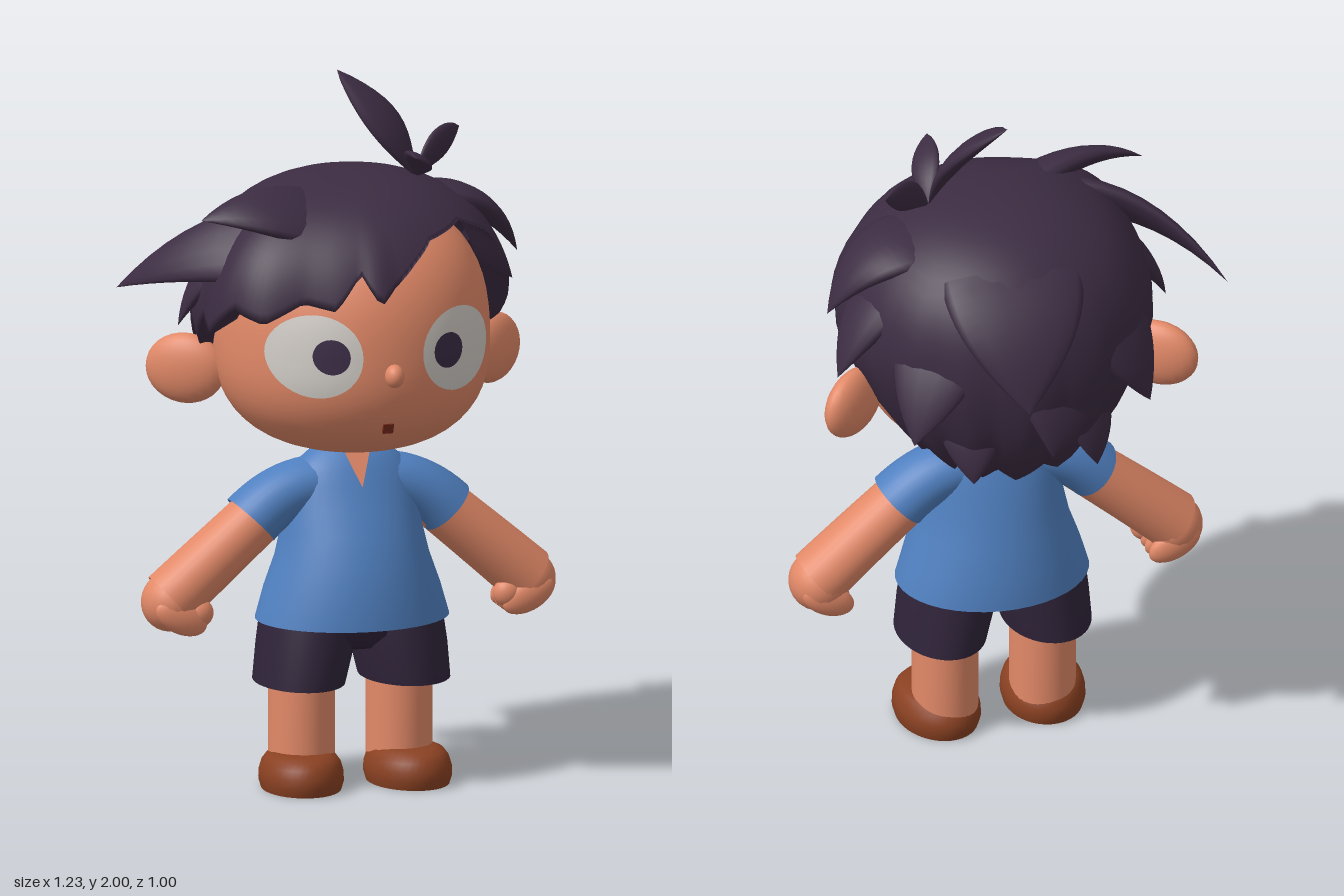
import * as THREE from 'three';

const V = (x, y, z) => new THREE.Vector3(x, y, z);
const mat = (name, color, side = THREE.FrontSide) => {
  const m = new THREE.MeshStandardMaterial({ color, side });
  m.name = name;
  return m;
};
const TAU = Math.PI * 2;
const CX = 0.015; // centre line of the figure

// Skin a stack of closed rings (each ring turns counter-clockwise about the stacking direction)
function loft(rings) {
  const n = rings[0].length, idx = [];
  for (let i = 0; i < rings.length - 1; i++) {
    for (let j = 0; j < n; j++) {
      const k = (j + 1) % n, a = i * n + j, b = i * n + k, c = b + n, d = a + n;
      idx.push(a, b, c, a, c, d);
    }
  }
  const g = new THREE.BufferGeometry().setFromPoints(rings.flat());
  g.setIndex(idx);
  g.computeVertexNormals();
  return g;
}

// Horizontal ellipse ring
const oval = (x, y, z, rx, rz, n = 40) => Array.from({ length: n }, (_, j) =>
  V(x + rx * Math.sin(j / n * TAU), y, z + rz * Math.cos(j / n * TAU)));

// Flattened tube along a three-point curve; w runs across, d along the normal N
function sweep([a, b, c], w, d, N, profile, steps = 12, n = 14) {
  const curve = new THREE.QuadraticBezierCurve3(V(...a), V(...b), V(...c));
  const rings = [];
  for (let i = 0; i <= steps; i++) {
    const t = i / steps, p = curve.getPoint(t), T = curve.getTangent(t);
    const S = N.clone().cross(T).normalize(), U = T.clone().cross(S), r = profile(t);
    rings.push(Array.from({ length: n }, (_, j) => p.clone()
      .addScaledVector(S, Math.cos(j / n * TAU) * w * r)
      .addScaledVector(U, Math.sin(j / n * TAU) * d * r)));
  }
  return loft(rings);
}

// Head: superellipse in height, ellipse in plan
const headScale = (y) => {
  const q = Math.min(1, Math.abs(y - 1.27) / (y > 1.27 ? 0.4 : 0.31));
  return Math.pow(1 - Math.pow(q, 2.5), 0.4);
};
const headZ = (x, y) =>
  0.05 + 0.41 * Math.sqrt(Math.max(0, headScale(y) ** 2 - ((x - 0.02) / 0.385) ** 2));

// Thin oval that follows the curve of the face
function facePatch(cx, cy, rx, ry, lift) {
  const g = new THREE.RingGeometry(0, 1, 40, 8), p = g.attributes.position;
  for (let i = 0; i < p.count; i++) {
    const x = cx + p.getX(i) * rx, y = cy + p.getY(i) * ry;
    p.setXYZ(i, x, y, headZ(x, y) + lift);
  }
  g.computeVertexNormals();
  return g;
}

// Hair hem: angle from the front toward the left, height, outward flare
const HEM = [
  [0, 1.49], [10, 1.55], [20, 1.6], [45, 1.63], [62, 1.58], [72, 1.43, 0.02], [80, 1.42], [90, 1.3],
  [100, 1.25], [106, 1.06], [115, 1.02, 0.04], [122, 1.05], [132, 0.97, 0.06], [140, 1.03], [152, 0.98, 0.08],
  [162, 1.03], [175, 0.96, 0.08], [190, 1.03], [205, 0.98, 0.08], [215, 1.03], [228, 0.97, 0.06], [238, 1.05],
  [247, 1.02, 0.04], [256, 1.2], [266, 1.27, 0.04], [280, 1.36], [290, 1.33, 0.03], [302, 1.42], [314, 1.39, 0.03],
  [326, 1.45], [338, 1.43, 0.02], [347, 1.53], [354, 1.445, 0.05], [360, 1.49],
];
function hem(deg) {
  const i = HEM.findIndex((h, k) => k > 0 && deg <= h[0]);
  const [a0, y0, f0 = 0] = HEM[i - 1], [a1, y1, f1 = 0] = HEM[i];
  const t = (deg - a0) / (a1 - a0);
  return [y0 + (y1 - y0) * t, f0 + (f1 - f0) * t];
}
function hairCap() {
  const n = 144, steps = 20, rings = [];
  for (let k = -1; k <= steps; k++) {
    const t = Math.max(0, k) / steps;
    rings.push(Array.from({ length: n }, (_, j) => {
      const deg = j / n * 360, a = j / n * TAU, [h, f] = hem(deg);
      let y = h + (1.74 - h) * Math.sin(t * Math.PI / 2);
      const q = Math.abs(y - 1.35) / (y > 1.35 ? 0.39 : 0.48), e = y > 1.35 ? 2.3 : 2;
      let r = Math.pow(Math.max(0, 1 - Math.pow(q, e)), 1 / e) * (1 + f * Math.pow(1 - t, 4));
      r *= 1 + 0.13 * Math.exp(-(((deg - 302) / 20) ** 2)); // swept fringe stands off the temple
      const taper = y < 1.35 ? 1 - 0.55 * (1.35 - y) : 1; // nape narrows behind the ears
      if (k < 0) { // underside: fills the nape, tucks into the head at the front
        const nape = h < 1.2;
        r = nape ? 0.4 : r * 0.78;
        y = nape ? 0.975 : y + 0.04;
      }
      return V(0.03 + 0.445 * r * taper * Math.sin(a), y, 0.02 + (Math.cos(a) < 0 ? 0.455 : 0.44) * r * Math.cos(a));
    }));
  }
  return loft(rings);
}

export function createModel() {
  const root = new THREE.Group();
  root.name = 'character';
  const skin = mat('skin', 0xe28968, THREE.DoubleSide);
  const hair = mat('hair', 0x3c2c42, THREE.DoubleSide);
  const shirt = mat('shirt blue', 0x5080c0, THREE.DoubleSide);
  const cloth = mat('shorts', 0x30243a, THREE.DoubleSide);
  const leather = mat('shoe brown', 0x8a4122);
  const white = mat('eye white', 0xd3cec8, THREE.DoubleSide);
  const dark = mat('pupil', 0x3c2d46, THREE.DoubleSide);
  const lip = mat('mouth', 0x7a2c1c);
  const add = (name, geo, material) => {
    const m = new THREE.Mesh(geo, material);
    m.name = name;
    root.add(m);
    return m;
  };
  const ball = (name, material, [x, y, z], [sx, sy, sz]) => {
    const m = add(name, new THREE.SphereGeometry(1, 24, 16), material);
    m.position.set(x, y, z);
    m.scale.set(sx, sy, sz);
    return m;
  };

  // Head and face
  const headRings = [];
  for (let i = 0; i <= 28; i++) {
    const c = -Math.cos(i / 28 * Math.PI), y = 1.27 + c * (c > 0 ? 0.4 : 0.31), s = headScale(y);
    headRings.push(oval(0.02, y, 0.05, 0.385 * s, 0.41 * s, 56));
  }
  add('head', loft(headRings), skin);
  ball('nose', skin, [0.02, 1.245, 0.468], [0.027, 0.033, 0.032]);
  const mouth = add('mouth', new THREE.BoxGeometry(0.03, 0.03, 0.009), lip);
  mouth.position.set(0.017, 1.085, headZ(0.017, 1.085) + 0.003);
  mouth.rotation.x = 0.35;
  for (const s of [-1, 1]) {
    add('eye', facePatch(0.02 + s * 0.205, 1.297, 0.118, 0.118, 0.006), white);
    add('pupil', facePatch(0.02 + s * 0.17, 1.3, 0.048, 0.05, 0.01), dark);
    const ear = ball('ear', skin, [0.02 + s * 0.445, 1.18, -0.075], [0.118, 0.1, 0.05]);
    ear.rotation.y = s * 0.65;
  }

  // Hair cap and pointed locks that grow out of it
  add('hairCap', hairCap(), hair);
  const locks = [
    [[-0.05, 1.56, 0.22], [-0.42, 1.64, 0.19], [-0.61, 1.41, -0.13], 0.15],
    [[-0.03, 1.6, 0.16], [-0.28, 1.72, 0.24], [-0.46, 1.66, 0.19], 0.13],
    [[-0.26, 1.56, 0.04], [-0.41, 1.48, 0], [-0.47, 1.32, 0], 0.09],
    [[0.28, 1.64, -0.02], [0.44, 1.64, -0.03], [0.53, 1.46, -0.04], 0.13],
    [[0.34, 1.54, -0.06], [0.46, 1.46, -0.1], [0.53, 1.31, -0.14], 0.12],
    [[0.06, 1.62, -0.26], [0.08, 1.52, -0.43], [0.08, 1.32, -0.5], 0.2],
    [[0.22, 1.5, -0.22], [0.33, 1.36, -0.33], [0.38, 1.2, -0.38], 0.15],
    [[-0.05, 1.38, -0.3], [-0.04, 1.24, -0.42], [0, 1.14, -0.46], 0.15],
    [[0.18, 1.25, -0.24], [0.2, 1.14, -0.34], [0.2, 1.03, -0.36], 0.11],
    [[-0.13, 1.25, -0.24], [-0.16, 1.14, -0.34], [-0.16, 1.03, -0.36], 0.11],
    [[-0.2, 1.5, -0.22], [-0.28, 1.36, -0.32], [-0.32, 1.2, -0.34], 0.15],
  ];
  for (const [a, b, c, w] of locks) {
    const out = V(...b).sub(V(0.03, 1.35, 0.02)).normalize();
    add('hairLock', sweep([a, b, c], w, 0.045, out, (t) => 1 - t * t), hair);
  }

  // Leaf-shaped tuft on the crown
  const leaf = (t) => Math.pow(Math.max(0, Math.sin(Math.PI * Math.pow(t, 1.15))), 0.8);
  const tuft = (name, tip, mid, w, d, N) => add(name, sweep([[0.21, 1.71, 0.04], mid, tip], w, d, N, leaf), hair);
  tuft('tallTuft', [0.02, 2, -0.09], [0.14, 1.87, 0.06], 0.082, 0.025, V(1, 0.6, 1));
  tuft('sideTuft', [0.37, 1.82, -0.07], [0.28, 1.8, 0], 0.045, 0.015, V(0.12, 0, 0.17));
  tuft('frontTuft', [0.15, 1.81, 0.25], [0.2, 1.79, 0.12], 0.045, 0.015, V(0.6, 0.8, -0.2));

  // Neck and shirt
  add('neck', loft([oval(CX, 0.9, 0.035, 0.07, 0.05), oval(CX, 1.02, 0.035, 0.07, 0.05)]), skin);
  const shirtRows = [
    [0.473, 0, 0, 0.055], [0.473, 0.275, 0.225, 0.055], [0.473, 0.275, 0.225, 0.055], [0.56, 0.25, 0.217, 0.055],
    [0.65, 0.218, 0.195, 0.055], [0.73, 0.2, 0.17, 0.05], [0.8, 0.19, 0.142, 0.042], [0.86, 0.18, 0.118, 0.038],
    [0.91, 0.16, 0.095, 0.036], [0.965, 0.095, 0.062, 0.035], [0.965, 0, 0, 0.035],
  ];
  add('shirt', loft(shirtRows.map(([y, rx, rz, z]) => oval(0.02, y, z, rx, rz))), shirt);
  const vee = new THREE.BufferGeometry().setFromPoints(
    [V(-0.025, 0.967, 0.106), V(0.018, 0.86, 0.165), V(0.06, 0.967, 0.106)]);
  vee.setIndex([0, 1, 2]);
  vee.computeVertexNormals();
  add('openCollar', vee, skin);

  for (const s of [-1, 1]) {
    const X = (x) => CX + s * x, Z = V(0, 0, 1);
    // Sleeve, arm and hand
    add('sleeve', sweep([[X(0.05), 0.855, 0.035], [X(0.18), 0.865, 0.035], [X(0.285), 0.76, 0.04]],
      0.083, 0.094, Z, (t) => 0.9 + 0.12 * t, 12, 28), shirt);
    add('arm', sweep([[X(0.2), 0.825, 0.038], [X(0.36), 0.69, 0.04], [X(0.52), 0.548, 0.038]],
      0.08, 0.086, Z, (t) => 0.96 + 0.1 * t, 8, 28), skin);
    const palm = ball('palm', skin, [X(0.515), 0.543, 0.037], [0.084, 0.087, 0.09]);
    palm.rotation.z = s * 0.7;
    for (let i = 0; i < 4; i++) {
      const finger = ball('finger', skin, [X(0.505), 0.507, -0.02 + i * 0.04], [0.08, 0.046, 0.029]);
      finger.rotation.z = s * 0.45;
    }
    ball('thumb', skin, [X(0.45), 0.515, 0.085], [0.042, 0.042, 0.036]);

    // Shorts leg, leg and shoe
    add('shortsLeg', loft([
      oval(X(0.153), 0.3, 0.065, 0, 0), oval(X(0.153), 0.3, 0.065, 0.125, 0.175),
      oval(X(0.153), 0.3, 0.065, 0.125, 0.175), oval(X(0.136), 0.4, 0.065, 0.134, 0.172),
      oval(X(0.122), 0.5, 0.06, 0.135, 0.16),
    ]), cloth);
    add('leg', loft([oval(X(0.142), 0.05, 0.055, 0.092, 0.106), oval(X(0.142), 0.35, 0.055, 0.092, 0.106)]), skin);
    const sole = [[0, 0], [0, 0.94], [0, 0.94], [0.025, 1], [0.05, 0.99], [0.075, 0.93], [0.093, 0.82], [0.103, 0.62], [0.107, 0]];
    const shoe = add('shoe', loft(sole.map(([y, r]) => oval(0, y, 0, 0.118 * r, 0.157 * r))), leather);
    shoe.position.set(X(0.155), 0, 0.095);
    shoe.rotation.y = s * 0.1;
  }
  add('shortsSeat', loft([oval(0.015, 0.39, 0.06, 0, 0), oval(0.015, 0.4, 0.06, 0.1, 0.11),
    oval(0.015, 0.44, 0.06, 0.2, 0.15), oval(0.015, 0.5, 0.06, 0.245, 0.168)]), cloth);
  return root;
}
